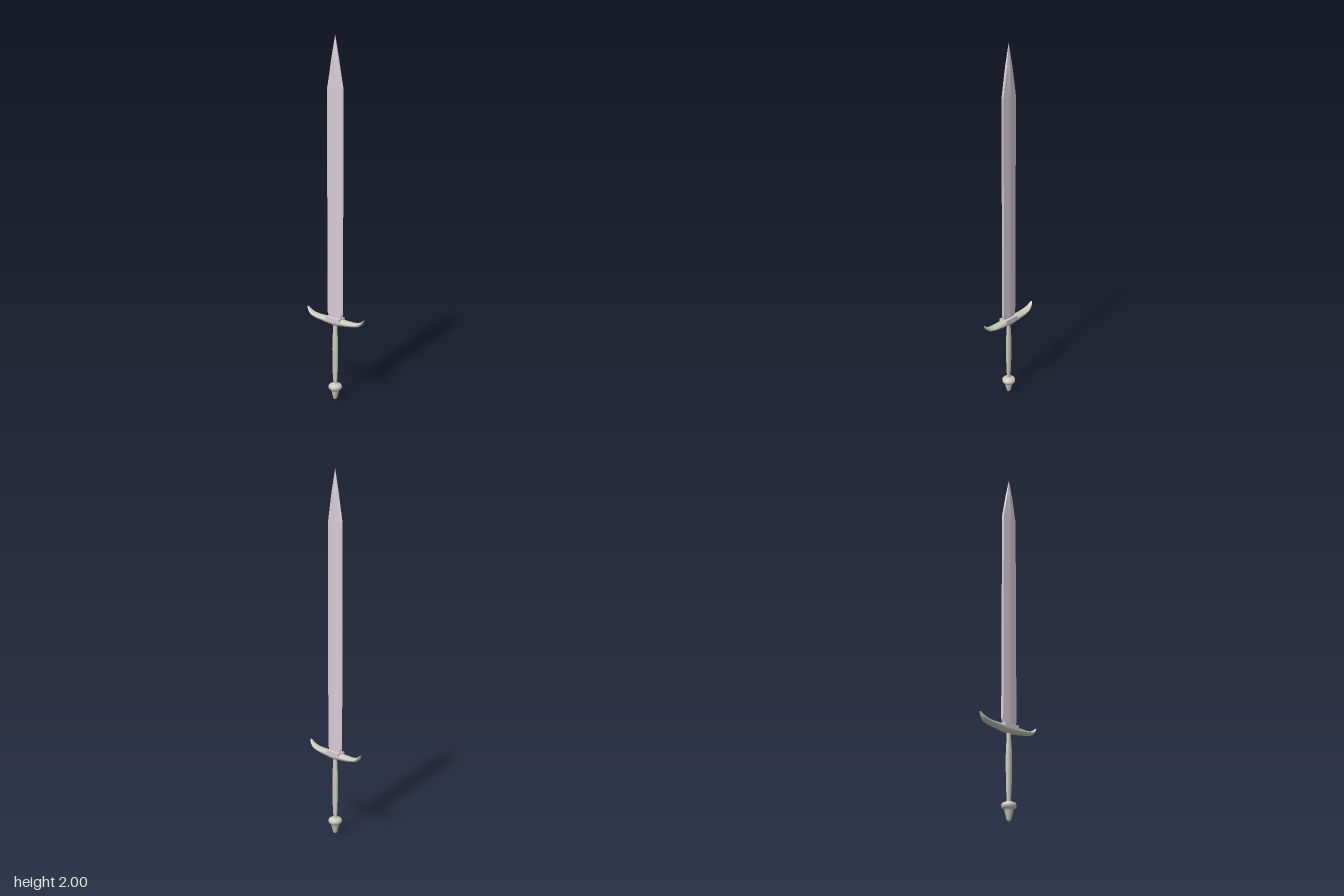
import * as THREE from 'three';

const steel = new THREE.MeshStandardMaterial({ color: 0xd8ccd8 });
const bone = new THREE.MeshStandardMaterial({ color: 0xcbc8bc });

// Skin over rings of equal length, with both ends closed
function loft(rings, flat) {
  const n = rings[0].length, pos = rings.flat(2), index = [];
  for (let i = 0; i < rings.length - 1; i++) {
    for (let j = 0; j < n; j++) {
      const k = (j + 1) % n, a = i * n, b = a + n;
      index.push(a + j, a + k, b + j, a + k, b + k, b + j);
    }
  }
  const last = (rings.length - 1) * n;
  for (let j = 1; j < n - 1; j++) {
    index.push(0, j + 1, j, last, last + j, last + j + 1);
  }
  let geo = new THREE.BufferGeometry();
  geo.setAttribute('position', new THREE.Float32BufferAttribute(pos, 3));
  geo.setIndex(index);
  if (flat) geo = geo.toNonIndexed();
  geo.computeVertexNormals();
  return geo;
}

function add(group, name, geo, material) {
  const mesh = new THREE.Mesh(geo, material);
  mesh.name = name;
  group.add(mesh);
  return mesh;
}

// Linear interpolation through [position, value] pairs
function sample(points, t) {
  for (let i = 1; i < points.length; i++) {
    const [t0, v0] = points[i - 1], [t1, v1] = points[i];
    if (t <= t1) return v0 + (v1 - v0) * (t - t0) / (t1 - t0);
  }
  return points[points.length - 1][1];
}

export function createModel() {
  const model = new THREE.Group();
  model.name = 'sword';

  // Blade: ridged section with bevelled edges; rows are [y, half width, half depth]
  const section = [[1, 0], [0.86, -0.6], [0, -1], [-0.86, -0.6], [-1, 0], [-0.86, 0.6], [0, 1], [0.86, 0.6]];
  const bladeRows = [[0.46, 0.045, 0.012], [0.49, 0.047, 0.012], [0.51, 0.055, 0.012],
    [1.73, 0.055, 0.012], [1.88, 0.025, 0.011], [2.0, 0.0005, 0.0005]];
  const bladeRings = bladeRows.map(([y, w, d]) => section.map(([x, z]) => [x * w, y, z * d]));
  add(model, 'blade', loft(bladeRings, true), steel);

  // Plate where the blade meets the guard
  const plate = add(model, 'bladePlate', new THREE.BoxGeometry(0.096, 0.025, 0.05), steel);
  plate.position.y = 0.475;

  // Crossguard: oval sections along x with upturned, rounded tips
  const top = [[0, 0.485], [0.06, 0.482], [0.12, 0.48], [0.15, 0.484], [0.175, 0.494], [0.2, 0.513]];
  const bottom = [[0, 0.439], [0.06, 0.446], [0.12, 0.456], [0.165, 0.465], [0.185, 0.482], [0.2, 0.51]];
  const guardRings = [];
  const steps = 48, sides = 20;
  for (let i = 0; i <= steps; i++) {
    const x = 0.2 * Math.sin((i / steps - 0.5) * Math.PI);
    const hi = sample(top, Math.abs(x)), lo = sample(bottom, Math.abs(x));
    const u = Math.max(0, (Math.abs(x) - 0.1) / 0.1);
    const depth = 0.0255 * Math.sqrt(Math.max(0.0004, 1 - u * u));
    const ring = [];
    for (let j = 0; j < sides; j++) {
      const a = j / sides * Math.PI * 2;
      ring.push([x, (hi + lo) / 2 + (hi - lo) / 2 * Math.cos(a), depth * Math.sin(a)]);
    }
    guardRings.push(ring);
  }
  add(model, 'crossguard', loft(guardRings, false), bone);

  // Grip: oval, swelling in the middle
  const gripProfile = [[0.012, 0.08], [0.012, 0.105], [0.0155, 0.15], [0.0175, 0.22],
    [0.0185, 0.3], [0.0175, 0.36], [0.0135, 0.41], [0.0125, 0.45]];
  const grip = add(model, 'grip', new THREE.LatheGeometry(gripProfile.map(p => new THREE.Vector2(...p)), 20), bone);
  grip.geometry.scale(1, 1, 0.72);

  // Pommel: rounded collar above a tapering knob
  const pommelProfile = [[0, 0], [0.007, 0.001], [0.012, 0.008], [0.017, 0.03], [0.022, 0.05],
    [0.024, 0.058], [0.033, 0.062], [0.038, 0.07], [0.038, 0.08], [0.033, 0.088],
    [0.022, 0.092], [0.013, 0.096], [0, 0.097]];
  add(model, 'pommel', new THREE.LatheGeometry(pommelProfile.map(p => new THREE.Vector2(...p)), 20), bone);

  return model;
}
